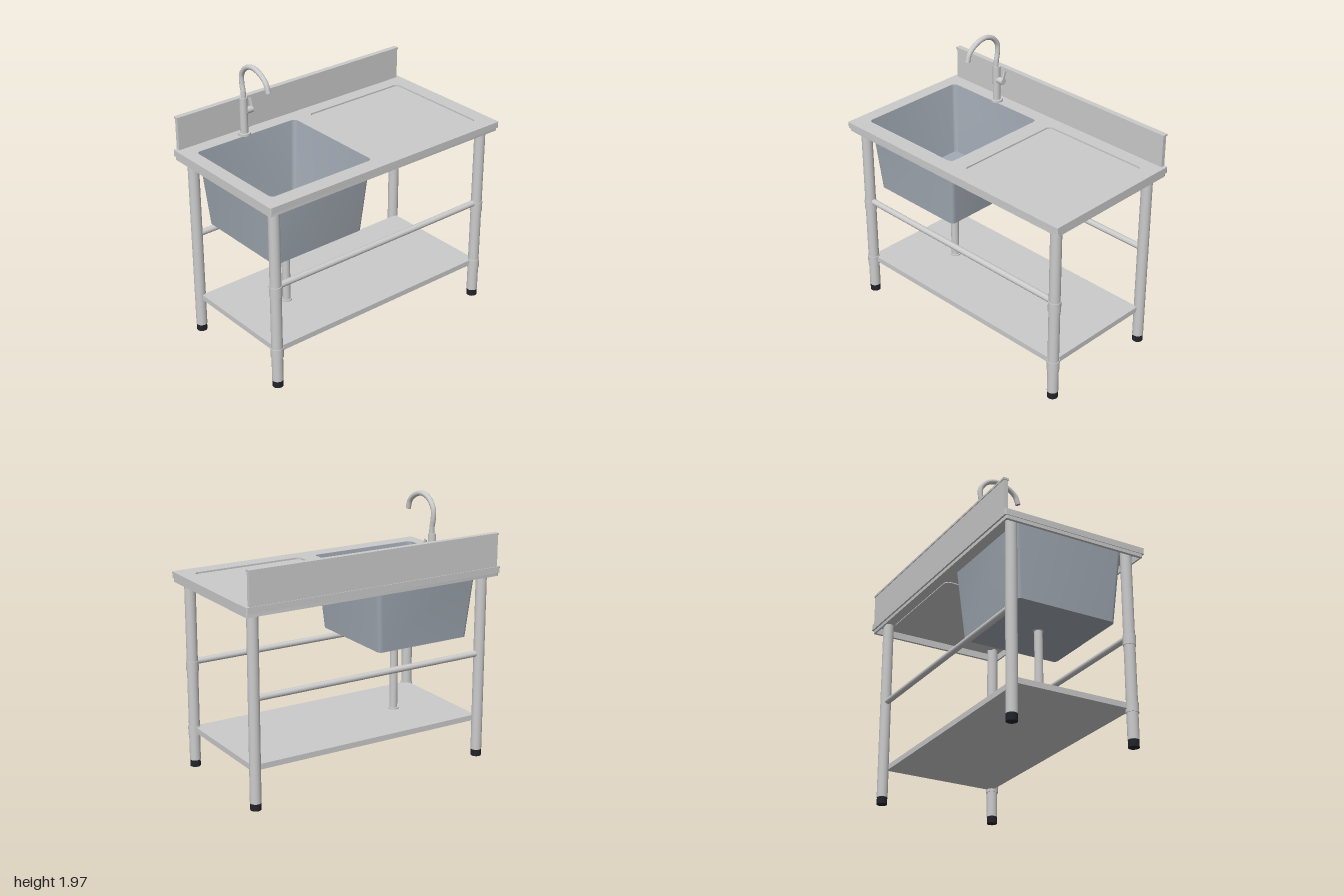
import * as THREE from 'three';
import { toCreasedNormals } from 'three/addons/utils/BufferGeometryUtils.js';

const steel = new THREE.MeshStandardMaterial({ color: 0xcccccc });
const bowlSteel = new THREE.MeshStandardMaterial({ color: 0xa3abb5, side: THREE.DoubleSide });
const rubber = new THREE.MeshStandardMaterial({ color: 0x22242a });

// Outline of a rounded rectangle on the ground plane, centred on (cx, cz)
function roundedRect(cx, cz, w, d, r, Type = THREE.Shape) {
  const s = new Type();
  const x = w / 2 - r, y = d / 2 - r;
  s.absarc(cx + x, -cz + y, r, 0, Math.PI / 2);
  s.absarc(cx - x, -cz + y, r, Math.PI / 2, Math.PI);
  s.absarc(cx - x, -cz - y, r, Math.PI, Math.PI * 1.5);
  s.absarc(cx + x, -cz - y, r, Math.PI * 1.5, Math.PI * 2);
  s.closePath();
  return s;
}

// Horizontal plate from y0 to y1
function plate(shape, y0, y1, holes = []) {
  shape.holes.push(...holes);
  const g = new THREE.ExtrudeGeometry(shape, { depth: y1 - y0, bevelEnabled: false, curveSegments: 8 });
  return toCreasedNormals(g.rotateX(-Math.PI / 2).translate(0, y0, 0), 0.6);
}

// Tapered open box with rounded corners, from stacked rings [y, width, depth, radius]
function taperedBowl(cx, cz, rings) {
  const pos = [], idx = [];
  let n = 0;
  for (const [y, w, d, r] of rings) {
    const pts = roundedRect(cx, cz, w, d, r).getSpacedPoints(3).length && roundedRect(cx, cz, w, d, r).getPoints(6);
    pts.pop();
    n = pts.length;
    for (const p of pts) pos.push(p.x, y, -p.y);
  }
  for (let k = 0; k < rings.length - 1; k++) {
    for (let i = 0; i < n; i++) {
      const a = k * n + i, b = k * n + (i + 1) % n;
      idx.push(a, a + n, b, b, a + n, b + n);
    }
  }
  const base = (rings.length - 1) * n, centre = pos.length / 3;
  pos.push(cx, rings[rings.length - 1][0], cz);
  for (let i = 0; i < n; i++) idx.push(base + i, centre, base + (i + 1) % n);
  const g = new THREE.BufferGeometry();
  g.setAttribute('position', new THREE.Float32BufferAttribute(pos, 3));
  g.setIndex(idx);
  return toCreasedNormals(g, 0.7);
}

export function createModel() {
  const model = new THREE.Group();
  model.name = 'sinkTable';

  function add(name, geometry, material = steel, parent = model) {
    const m = new THREE.Mesh(geometry, material);
    m.name = name;
    parent.add(m);
    return m;
  }
  const box = (name, x0, x1, y0, y1, z0, z1) =>
    add(name, new THREE.BoxGeometry(x1 - x0, y1 - y0, z1 - z0)
      .translate((x0 + x1) / 2, (y0 + y1) / 2, (z0 + z1) / 2));
  const post = (name, r, y0, y1, x, z, material = steel, parent = model) =>
    add(name, new THREE.CylinderGeometry(r, r, y1 - y0, 28).translate(x, (y0 + y1) / 2, z), material, parent);

  // Worktop sheet with openings for the bowl and the drainboard
  const sinkX = -0.4875, drainX = 0.4725, midZ = 0.01;
  add('worktop', plate(roundedRect(0, 0, 2, 1.08, 0.008), 1.4, 1.42, [
    roundedRect(sinkX, midZ, 0.835, 0.83, 0.035, THREE.Path),
    roundedRect(drainX, midZ, 0.835, 0.83, 0.035, THREE.Path),
  ]));
  add('drainboard', plate(roundedRect(drainX, midZ, 0.85, 0.845, 0.04), 1.393, 1.408));

  // Folded skirt round the hollow underside
  add('upperSkirt', plate(roundedRect(0, 0, 2, 1.08, 0.008), 1.375, 1.4,
    [roundedRect(0, 0, 1.95, 1.03, 0.006, THREE.Path)]));
  add('lowerSkirt', plate(roundedRect(0, 0, 1.99, 1.055, 0.008), 1.35, 1.375,
    [roundedRect(0, 0, 1.95, 1.03, 0.006, THREE.Path)]));

  // Backsplash with a folded cap
  box('backsplash', -0.975, 0.975, 1.42, 1.645, -0.535, -0.505);
  box('backsplashCap', -0.98, 0.98, 1.645, 1.66, -0.54, -0.5);

  // Bowl, drain and waste pipe
  add('bowl', taperedBowl(sinkX, midZ, [
    [1.418, 0.835, 0.83, 0.035],
    [0.885, 0.74, 0.74, 0.03],
  ]), bowlSteel);
  const drain = new THREE.Group();
  drain.name = 'drain';
  drain.position.set(-0.49, 0.887, midZ);
  model.add(drain);
  add('drainRing', new THREE.TorusGeometry(0.031, 0.006, 8, 32).rotateX(Math.PI / 2), steel, drain);
  post('drainHole', 0.028, 0, 0.002, 0, 0, rubber, drain);
  for (let i = -1; i <= 1; i++) {
    add('drainBar', new THREE.BoxGeometry(0.048, 0.004, 0.006).translate(0, 0.003, i * 0.014), steel, drain);
  }
  post('wastePipe', 0.029, 0.3, 0.884, -0.49, midZ);
  post('wastePipeFlange', 0.039, 0.3, 0.31, -0.49, midZ);

  // Legs with rubber feet; the front pair carries joint collars
  for (const x of [-0.91, 0.91]) {
    for (const z of [-0.445, 0.45]) {
      const leg = new THREE.Group();
      leg.name = z > 0 ? 'frontLeg' : 'backLeg';
      model.add(leg);
      post('legTube', 0.039, 0.05, 1.4, x, z, steel, leg);
      post('foot', 0.037, 0, 0.05, x, z, rubber, leg);
      if (z > 0) {
        post('upperCollar', 0.044, 0.71, 0.785, x, z, steel, leg);
        post('lowerCollar', 0.044, 0.235, 0.305, x, z, steel, leg);
      }
    }
  }

  // Long rails and lower shelf
  for (const z of [-0.445, 0.45]) {
    add('rail', new THREE.CylinderGeometry(0.022, 0.022, 1.8, 20)
      .rotateZ(Math.PI / 2).translate(0, 0.777, z));
  }
  box('shelf', -0.915, 0.915, 0.26, 0.3, -0.415, 0.45);

  // Faucet
  const faucet = new THREE.Group();
  faucet.name = 'faucet';
  faucet.position.set(-0.49, 0, -0.43);
  model.add(faucet);
  post('faucetBase', 0.045, 1.42, 1.436, 0, 0, steel, faucet);
  post('faucetBody', 0.028, 1.436, 1.695, 0, 0, steel, faucet);
  const path = new THREE.CatmullRomCurve3([
    [1.68, 0.005], [1.74, 0.002], [1.8, -0.01], [1.865, -0.007], [1.92, 0.035], [1.946, 0.09],
    [1.948, 0.145], [1.925, 0.21], [1.88, 0.265], [1.82, 0.287],
  ].map(([y, z]) => new THREE.Vector3(0, y, z)));
  add('spout', new THREE.TubeGeometry(path, 48, 0.018, 16), steel, faucet);
  const tip = new THREE.CircleGeometry(0.018, 16).rotateX(Math.PI / 2 - 0.35);
  add('spoutTip', tip.translate(0, 1.82, 0.287), bowlSteel, faucet);
  add('handleHub', new THREE.CylinderGeometry(0.024, 0.024, 0.052, 20)
    .rotateZ(Math.PI / 2).translate(0.044, 1.592, 0), steel, faucet);
  const lever = add('handleLever', new THREE.BoxGeometry(0.01, 0.095, 0.02).translate(0, 0.035, 0), steel, faucet);
  lever.position.set(0.066, 1.59, 0.008);
  lever.rotation.x = -0.35;

  return model;
}
